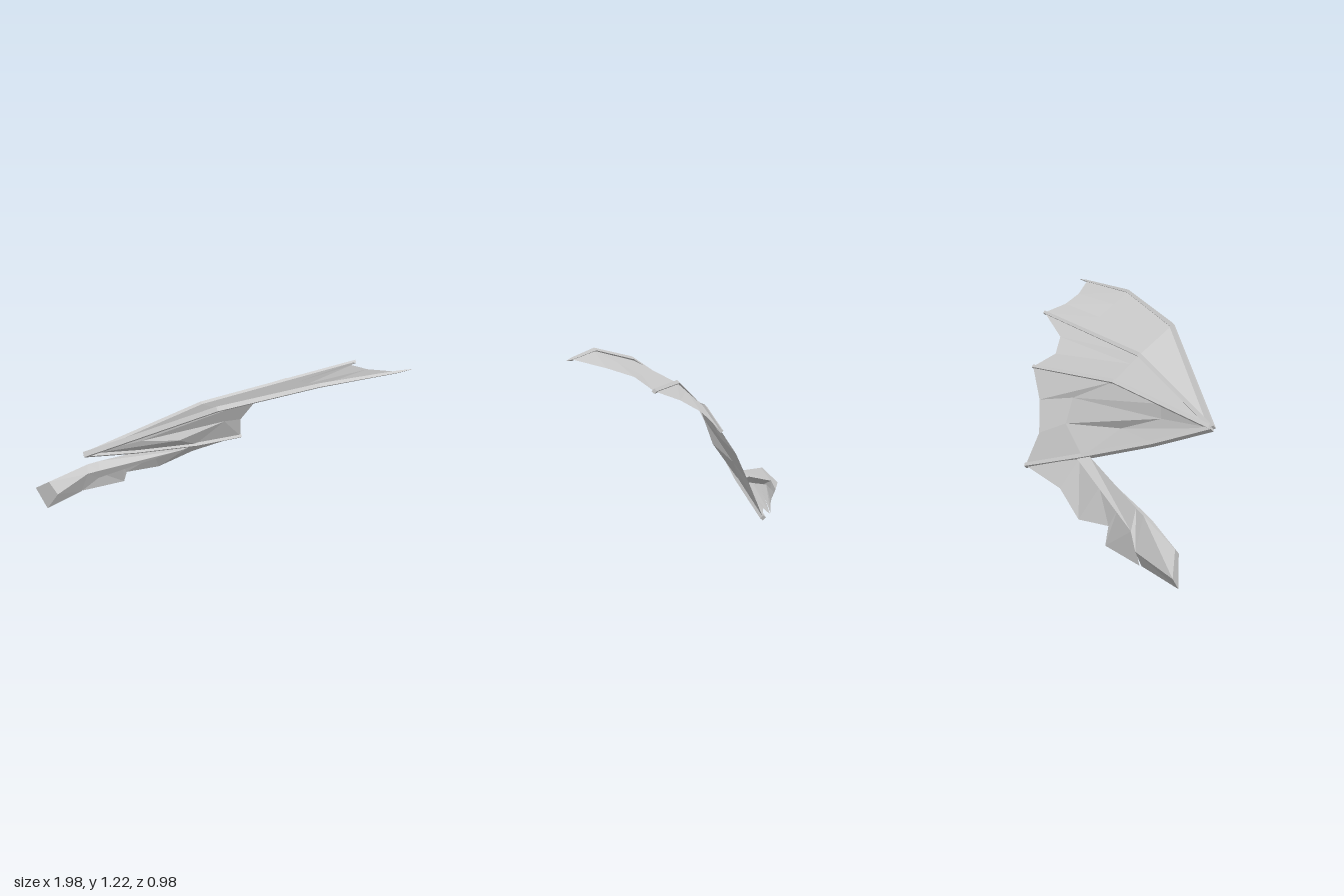
import * as THREE from 'three';

const material = new THREE.MeshStandardMaterial({ color: 0xcccccc, flatShading: true, side: THREE.DoubleSide });

// Skins a grid of [x, y, z] rows; closed joins each row into a ring with end caps.
function skin(name, rows, closed = false) {
  const pos = [];
  const tri = (a, b, c) => pos.push(...a, ...b, ...c);
  const n = rows[0].length;
  for (let r = 0; r < rows.length - 1; r++) {
    for (let c = 0; c < (closed ? n : n - 1); c++) {
      const d = (c + 1) % n;
      tri(rows[r][c], rows[r + 1][c], rows[r + 1][d]);
      tri(rows[r][c], rows[r + 1][d], rows[r][d]);
    }
  }
  if (closed) {
    const end = rows[rows.length - 1];
    for (let c = 1; c < n - 1; c++) {
      tri(rows[0][0], rows[0][c], rows[0][c + 1]);
      tri(end[0], end[c + 1], end[c]);
    }
  }
  const geometry = new THREE.BufferGeometry();
  geometry.setAttribute('position', new THREE.Float32BufferAttribute(pos, 3));
  geometry.computeVertexNormals();
  const mesh = new THREE.Mesh(geometry, material);
  mesh.name = name;
  return mesh;
}

// Four-sided bone along a path, aligned with the plane of the wing.
function bone(name, path, radii) {
  const normal = new THREE.Vector3(0, 0.7, -0.7).normalize();
  const pts = path.map(p => new THREE.Vector3(...p));
  const rows = pts.map((p, i) => {
    const t = pts[Math.min(i + 1, pts.length - 1)].clone().sub(pts[Math.max(i - 1, 0)]).normalize();
    const side = new THREE.Vector3().crossVectors(normal, t).normalize();
    const up = new THREE.Vector3().crossVectors(t, side);
    return [[1, 1], [-1, 1], [-1, -1], [1, -1]].map(([a, b]) =>
      p.clone().addScaledVector(side, a * radii[i]).addScaledVector(up, b * radii[i]).toArray());
  });
  return skin(name, rows, true);
}

const mix = (a, b, t) => a.map((v, i) => v + (b[i] - v) * t);
const across = (a, b) => [0, 1 / 3, 2 / 3, 1].map(t => mix(a, b, t));

export function createModel() {
  const wing = new THREE.Group();
  wing.name = 'wing';

  // Joints
  const wrist = [-0.73, 0.70, 0.035];
  const f1 = [[-0.06, 1.09, 0.365], [0.46, 1.205, 0.47], [0.90, 1.215, 0.48]];
  const f2 = [[-0.07, 0.955, 0.10], [0.85, 1.06, 0.09]];
  const f3 = [[-0.04, 0.82, -0.065], [0.56, 0.81, -0.21]];
  const arm = [[-0.42, 0.56, -0.10], [0.0, 0.40, -0.27], [0.35, 0.28, -0.43]];

  // Finger bones and forearm
  wing.add(
    bone('upperFinger', [wrist, ...f1, [0.98, 1.218, 0.482]], [0.015, 0.013, 0.01, 0.006, 0.001]),
    bone('middleFinger', [wrist, ...f2], [0.012, 0.012, 0.009]),
    bone('lowerFinger', [wrist, ...f3], [0.012, 0.012, 0.009]),
    bone('forearm', [wrist, ...arm], [0.014, 0.014, 0.014, 0.012]),
  );

  // Membranes between the fingers, each ending in a scalloped edge
  const tip = [wrist, wrist, wrist, wrist];
  wing.add(
    skin('upperMembrane', [
      tip,
      across(f1[0], f2[0]),
      across(f1[1], mix(f2[0], f2[1], 0.55)),
      [f1[2], [0.80, 1.16, 0.33], [0.77, 1.115, 0.20], f2[1]],
    ]),
    skin('middleMembrane', [
      tip,
      across(f2[0], f3[0]),
      [f2[1], [0.56, 0.965, 0.0], [0.475, 0.89, -0.10], f3[1]],
    ]),
    skin('lowerMembrane', [
      tip,
      [mix(wrist, f3[0], 0.5), [-0.4, 0.68, -0.025], [-0.15, 0.575, -0.105], arm[0]],
      [f3[0], [0.20, 0.69, -0.18], [0.18, 0.55, -0.25], arm[1]],
      [f3[1], [0.40, 0.65, -0.28], [0.32, 0.475, -0.345], arm[2]],
    ]),
  );

  // Upper arm: sections run top, front, bottom, back from shoulder to elbow
  wing.add(skin('upperArm', [
    [[-0.92, 0.21, -0.40], [-0.88, 0.15, -0.335], [-0.95, 0.0, -0.40], [-1.0, 0.11, -0.49]],
    [[-0.67, 0.30, -0.39], [-0.68, 0.265, -0.34], [-0.72, 0.05, -0.445], [-0.71, 0.14, -0.48]],
    [[-0.60, 0.317, -0.38], [-0.61, 0.28, -0.33], [-0.61, 0.19, -0.375], [-0.64, 0.22, -0.45]],
    [[-0.09, 0.43, -0.285], [-0.10, 0.375, -0.265], [0.0, 0.385, -0.28], [-0.03, 0.41, -0.33]],
  ], true));

  // Membrane hanging behind the upper arm, from elbow to shoulder
  wing.add(skin('rearMembrane', [
    [arm[2], arm[2]],
    [[0.0, 0.39, -0.29], [0.02, 0.235, -0.418]],
    [[-0.25, 0.31, -0.345], [-0.20, 0.13, -0.455]],
    [[-0.45, 0.25, -0.385], [-0.42, 0.16, -0.42]],
    [[-0.61, 0.20, -0.42], [-0.435, 0.06, -0.455]],
    [[-0.70, 0.13, -0.465], [-0.71, 0.05, -0.45]],
  ]));

  return wing;
}
